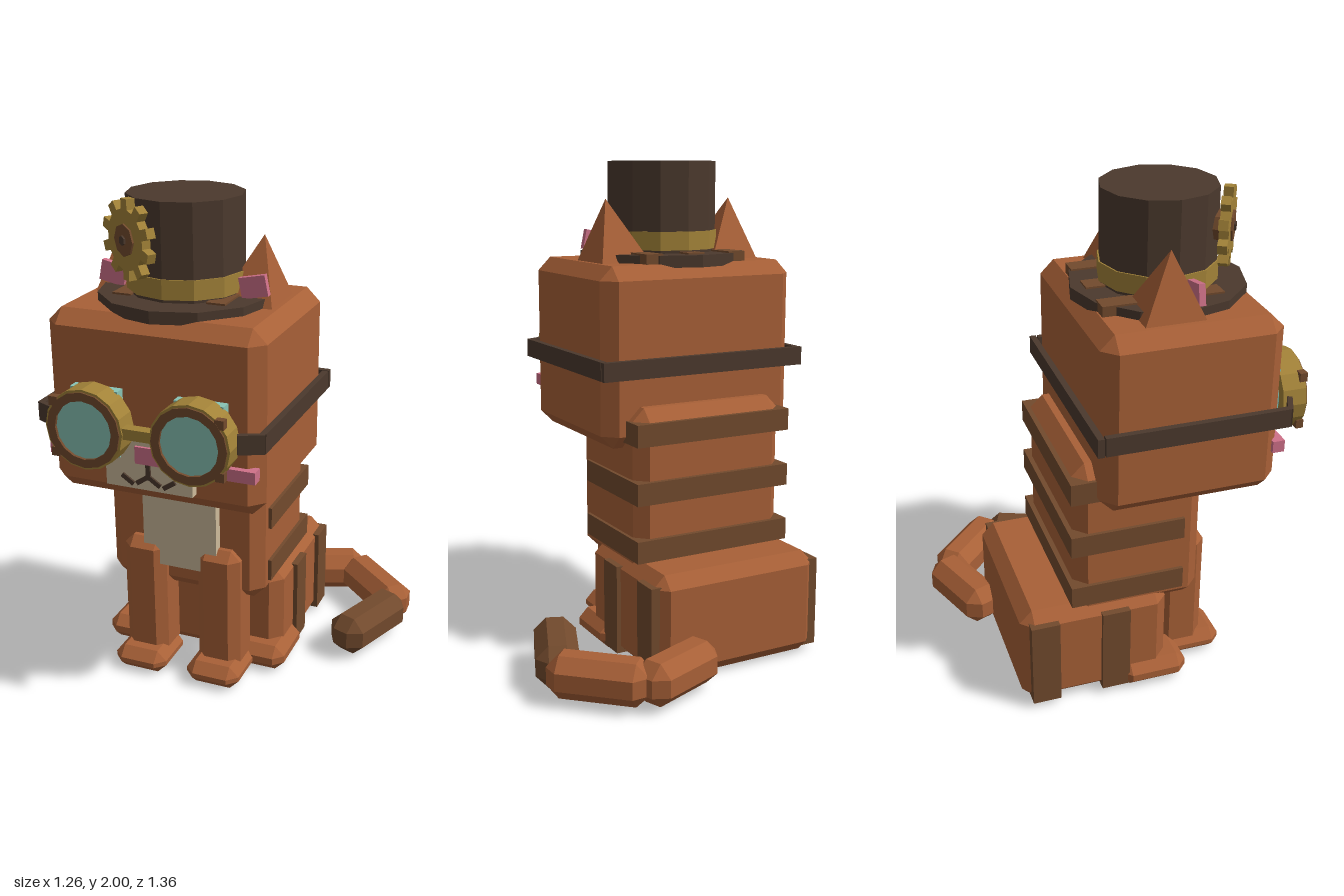
import * as THREE from 'three';
import { ConvexGeometry } from 'three/addons/geometries/ConvexGeometry.js';

const paint = (name, color) => {
  const m = new THREE.MeshStandardMaterial({ color });
  m.name = name;
  return m;
};

export function createModel() {
  const fur = paint('orange fur', 0xa86037);
  const stripe = paint('brown stripe', 0x724a2d);
  const dark = paint('dark leather', 0x4b392d);
  const brass = paint('brass', 0xa28238);
  const glass = paint('teal glass', 0x88c3b5);
  const pink = paint('pink', 0xcf7189);
  const cream = paint('cream', 0xcdbb9b);

  const model = new THREE.Group();
  model.name = 'cat';
  const cat = new THREE.Group();
  cat.name = 'catBody';
  cat.position.x = -0.173; // the tail sticks out to the left, so the cat sits off centre
  model.add(cat);

  const add = (name, geo, mat, x = 0, y = 0, z = 0, parent = cat) => {
    const mesh = new THREE.Mesh(geo, mat);
    mesh.name = name;
    mesh.position.set(x, y, z);
    parent.add(mesh);
    return mesh;
  };
  const box = (w, h, d) => new THREE.BoxGeometry(w, h, d);

  // box with every edge cut at 45 degrees
  const bevelBox = (w, h, d, c) => {
    const pts = [];
    for (const x of [-1, 1]) for (const y of [-1, 1]) for (const z of [-1, 1]) {
      const [a, b, e] = [w / 2, h / 2, d / 2];
      pts.push(new THREE.Vector3(x * a, y * (b - c), z * (e - c)));
      pts.push(new THREE.Vector3(x * (a - c), y * b, z * (e - c)));
      pts.push(new THREE.Vector3(x * (a - c), y * (b - c), z * e));
    }
    return new ConvexGeometry(pts);
  };
  // disc or drum facing +z
  const drum = (r, depth, sides) => {
    const g = new THREE.CylinderGeometry(r, r, depth, sides).toNonIndexed();
    g.computeVertexNormals();
    return g.rotateX(Math.PI / 2);
  };
  const ring = (outer, inner, depth, sides) => {
    const circle = (r) => Array.from({ length: sides }, (_, i) => {
      const a = (i / sides) * Math.PI * 2;
      return new THREE.Vector2(r * Math.cos(a), r * Math.sin(a));
    });
    const s = new THREE.Shape(circle(outer));
    s.holes.push(new THREE.Path(circle(inner).reverse()));
    return new THREE.ExtrudeGeometry(s, { depth, bevelEnabled: false });
  };

  // torso, haunches and head
  add('torso', bevelBox(0.676, 0.68, 0.52, 0.05), fur, 0, 0.71, 0);
  add('haunches', bevelBox(0.74, 0.43, 0.605, 0.05), fur, 0, 0.225, -0.183);
  add('head', bevelBox(0.87, 0.72, 0.7, 0.055), fur, 0, 1.24, 0.17);
  add('chestPatch', box(0.32, 0.45, 0.05), cream, 0, 0.715, 0.275);

  // coat stripes
  for (const y of [0.485, 0.72, 0.955]) add('backStripe', box(0.704, 0.09, 0.46), stripe, 0, y, -0.05);
  for (const z of [-0.107, -0.397]) add('haunchStripe', box(0.776, 0.37, 0.115), stripe, 0, 0.215, z);
  for (const x of [-0.19, 0, 0.19]) add('headStripe', box(0.075, 0.09, 0.47), stripe, x, 1.595, 0.115);

  for (const s of [-1, 1]) {
    // legs and paws
    add('frontLeg', bevelBox(0.185, 0.55, 0.19, 0.04), fur, s * 0.163, 0.32, 0.225);
    add('frontPaw', bevelBox(0.23, 0.1, 0.25, 0.04), fur, s * 0.163, 0.055, 0.275);
    add('hindPaw', bevelBox(0.22, 0.11, 0.28, 0.04), fur, s * 0.295, 0.06, 0.06);

    // ears
    const corners = [[0.14, 1.59, -0.01], [0.365, 1.59, -0.01], [0.365, 1.59, 0.23], [0.14, 1.59, 0.23], [0.29, 1.85, 0.11]];
    add('ear', new ConvexGeometry(corners.map(([x, y, z]) => new THREE.Vector3(s * x, y, z))), fur);
    add('innerEar', box(0.105, 0.08, 0.025), pink, s * 0.288, 1.677, 0.213).rotation.z = s * -0.2 * -1;

    // face
    add('cheek', box(0.115, 0.048, 0.048), pink, s * 0.362, 1.062, 0.521);
    add('eye', box(0.195, 0.26, 0.045), glass, s * 0.21, 1.2, 0.54);

    // goggles
    const goggle = new THREE.Group();
    goggle.name = 'goggle';
    goggle.position.set(s * 0.21, 1.2, 0);
    cat.add(goggle);
    add('goggleBarrel', ring(0.157, 0.118, 0.096, 16), brass, 0, 0, 0.555, goggle);
    add('goggleRim', ring(0.148, 0.115, 0.012, 16), stripe, 0, 0, 0.646, goggle);
    add('lens', drum(0.12, 0.02, 16), glass, 0, 0, 0.635, goggle);
    for (const v of [-1, 1]) add('goggleScrew', box(0.035, 0.035, 0.03), stripe, s * 0.118, v * 0.1, 0.642, goggle);

    // strap sides, bent inwards to the goggles
    add('strapSide', box(0.025, 0.075, 0.72), dark, s * 0.447, 1.203, 0.18);
    add('strapEnd', box(0.1, 0.075, 0.02), dark, s * 0.41, 1.203, 0.558).rotation.y = s * 0.43;
  }
  add('strapBack', box(0.92, 0.075, 0.025), dark, 0, 1.203, -0.198);
  add('goggleBridge', box(0.13, 0.042, 0.045), brass, 0, 1.205, 0.622);

  // muzzle, nose and mouth
  add('muzzle', box(0.355, 0.2, 0.045), cream, 0, 1.05, 0.532);
  add('nose', box(0.1, 0.068, 0.06), pink, 0, 1.092, 0.536);
  const bar = (x1, y1, x2, y2) => {
    const m = add('mouthLine', box(Math.hypot(x2 - x1, y2 - y1) + 0.008, 0.018, 0.012), dark, (x1 + x2) / 2, (y1 + y2) / 2, 0.557);
    m.rotation.z = Math.atan2(y2 - y1, x2 - x1);
  };
  bar(0, 1.0, 0, 1.065);
  for (const s of [-1, 1]) {
    bar(0, 1.008, s * 0.045, 0.978);
    bar(s * 0.065, 0.973, s * 0.105, 1.0);
  }

  // top hat
  const hat = (name, r, y0, y1, mat) => {
    const g = new THREE.CylinderGeometry(r, r, y1 - y0, 12).toNonIndexed();
    g.computeVertexNormals();
    add(name, g, mat, 0, (y0 + y1) / 2, 0.17);
  };
  hat('hatBrim', 0.34, 1.585, 1.633, dark);
  hat('hatCrown', 0.224, 1.62, 2.0, dark);
  hat('hatBand', 0.23, 1.645, 1.72, brass);

  // cog on the hat
  const cog = new THREE.Group();
  cog.name = 'hatCog';
  cog.position.set(-0.128, 1.855, 0.39);
  cog.rotation.y = -0.53;
  cat.add(cog);
  const teeth = 10;
  const outline = [];
  for (let i = 0; i < teeth; i++) {
    for (const [t, r] of [[-0.28, 0.112], [-0.2, 0.15], [0.2, 0.15], [0.28, 0.112]]) {
      const a = ((i + t) / teeth) * Math.PI * 2 + Math.PI / 2;
      outline.push(new THREE.Vector2(r * Math.cos(a), r * Math.sin(a)));
    }
  }
  const cogShape = new THREE.Shape(outline);
  cogShape.holes.push(new THREE.Path().absarc(0, 0, 0.05, 0, Math.PI * 2, true));
  add('cogWheel', new THREE.ExtrudeGeometry(cogShape, { depth: 0.036, bevelEnabled: false, curveSegments: 8 }), brass, 0, 0, -0.018, cog);
  add('cogHub', drum(0.06, 0.075, 8), stripe, 0, 0, -0.012, cog);
  add('cogPin', drum(0.018, 0.01, 6), dark, 0, 0, 0.028, cog);

  // tail in three links: x, z, angle, length
  const links = [[0.168, -0.572, 0.37, 0.38, fur], [0.452, -0.487, -0.75, 0.4, fur], [0.496, -0.19, -1.95, 0.39, stripe]];
  for (const [x, z, angle, length, mat] of links) {
    add('tailLink', bevelBox(length, 0.17, 0.17, 0.05), mat, x, 0.108, z, model).rotation.y = angle;
  }
  return model;
}
